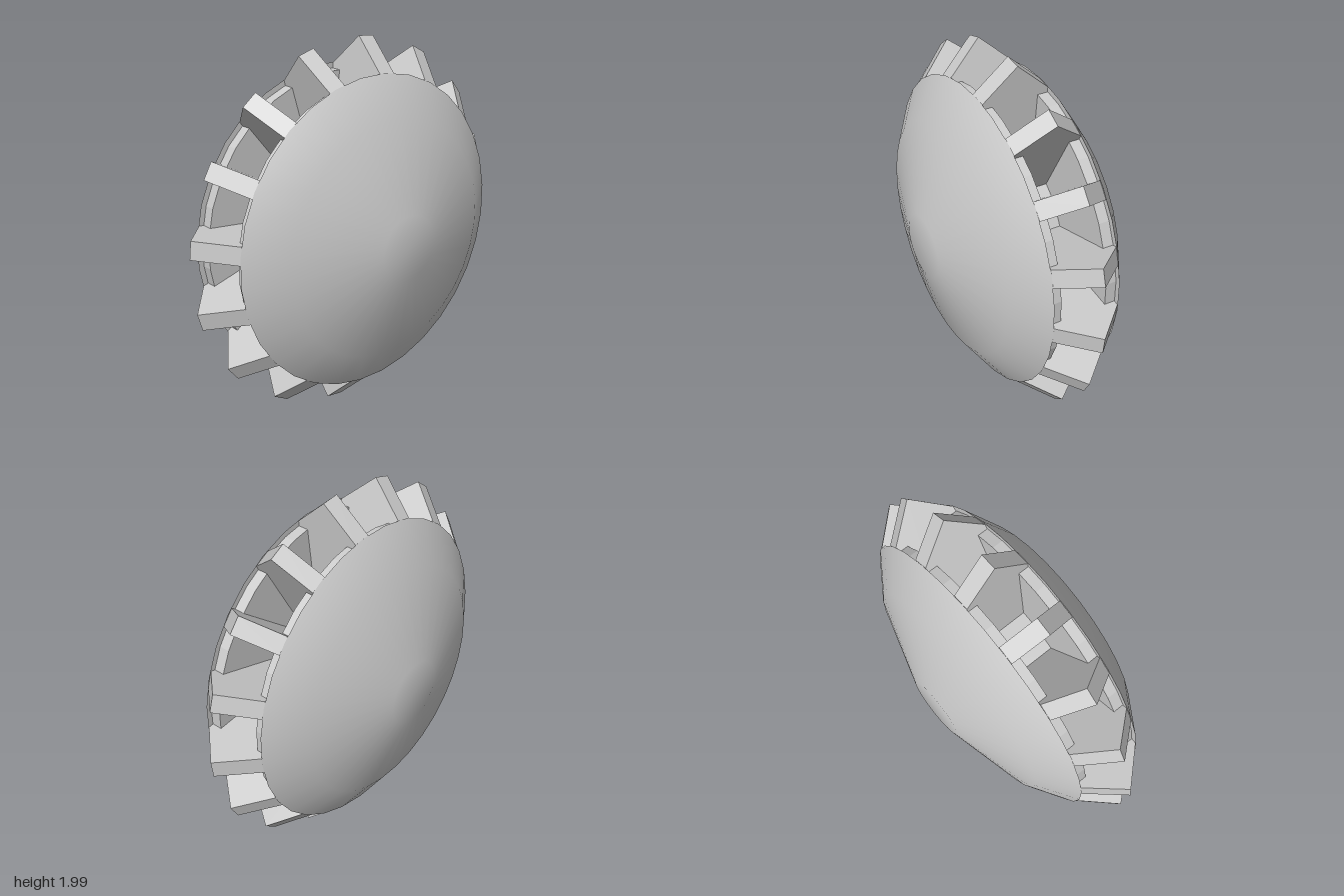
import * as THREE from 'three';

const BLADES = 16;
const SIDES = 32;
const OFFSET = THREE.MathUtils.degToRad(6.4);
const THICK = 0.095;

export function createModel() {
  const model = new THREE.Group();
  model.name = 'bladedWheel';
  const smooth = new THREE.MeshStandardMaterial({ color: 0xcccccc });
  const flat = new THREE.MeshStandardMaterial({ color: 0xcccccc, flatShading: true });

  const wheel = new THREE.Group();
  wheel.name = 'wheel';
  wheel.position.y = 1;
  model.add(wheel);

  const add = (name, geometry, material, parent = wheel) => {
    const mesh = new THREE.Mesh(geometry, material);
    mesh.name = name;
    parent.add(mesh);
    return mesh;
  };

  // Central hub, with one facet between each pair of blades
  const hub = new THREE.CylinderGeometry(0.415, 0.415, 0.26, BLADES, 1, true, OFFSET);
  add('hub', hub.rotateZ(Math.PI / 2), flat);

  // Side domes, each with a flat back and an inner rim disc
  const profile = [[0.835, 0.182], [0.632, 0.316], [0.172, 0.458], [0, 0.458]]
    .map(([r, h]) => new THREE.Vector2(r, h));
  for (const side of [1, -1]) {
    const half = new THREE.Group();
    half.name = side > 0 ? 'leftSide' : 'rightSide';
    half.rotation.z = -side * Math.PI / 2;
    wheel.add(half);

    add('dome', new THREE.LatheGeometry(profile, SIDES, Math.PI / SIDES), smooth, half);

    const back = new THREE.CircleGeometry(0.835, SIDES, Math.PI / SIDES);
    add('domeBack', back.rotateX(Math.PI / 2).translate(0, 0.182, 0), flat, half);

    const rim = new THREE.CylinderGeometry(0.805, 0.805, 0.057, SIDES, 1, false, Math.PI / SIDES);
    add('rim', rim.translate(0, 0.1535, 0), flat, half);
  }

  // Pointed blades radiating from the hub
  const outline = new THREE.Shape([[-0.18, 0.39], [0.18, 0.39], [0.18, 0.83], [0, 0.995], [-0.18, 0.83]]
    .map(([x, r]) => new THREE.Vector2(x, r)));
  const bladeGeometry = new THREE.ExtrudeGeometry(outline, { depth: THICK, bevelEnabled: false });
  bladeGeometry.translate(0, 0, -THICK / 2);
  for (let i = 0; i < BLADES; i++) {
    const blade = add('blade', bladeGeometry, flat);
    blade.rotation.x = Math.PI / 2 - (OFFSET + (i * 2 * Math.PI) / BLADES);
  }

  return model;
}
